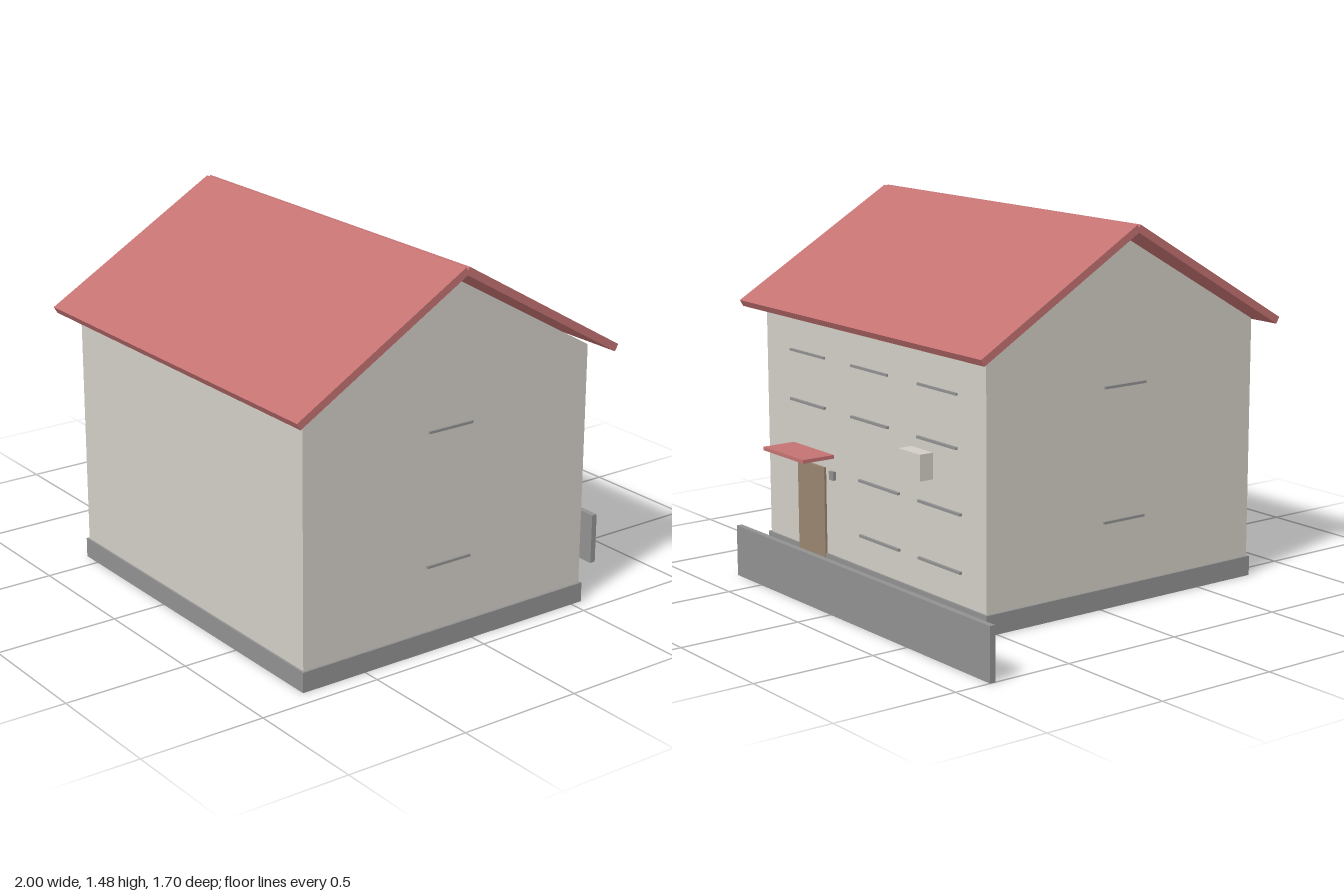
import * as THREE from 'three';

const mat = (name, color) => {
  const m = new THREE.MeshStandardMaterial({ color });
  m.name = name;
  return m;
};

export function createModel() {
  const house = new THREE.Group();
  house.name = 'house';
  const plaster = mat('plaster', 0xd2cec6);
  const concrete = mat('concrete grey', 0x919191);
  const tile = mat('roof red', 0xc47272);
  const wood = mat('door brown', 0x9a8570);

  // Box given by its min and max on each axis
  const box = (name, material, [x0, x1], [y0, y1], [z0, z1]) => {
    const m = new THREE.Mesh(new THREE.BoxGeometry(x1 - x0, y1 - y0, z1 - z0), material);
    m.position.set((x0 + x1) / 2, (y0 + y1) / 2, (z0 + z1) / 2);
    m.name = name;
    house.add(m);
    return m;
  };

  const X0 = -0.57, X1 = 0.92, ZB = -0.54, ZF = 0.77, ZR = 0.115;

  // Gabled body, its outline drawn in (-z, y) and extruded along x
  const gable = new THREE.Shape([
    [-ZF, 0.02], [-ZB, 0.02], [-ZB, 1.05], [-ZR, 1.425], [-ZF, 1.05],
  ].map(([a, b]) => new THREE.Vector2(a, b)));
  const walls = new THREE.Mesh(
    new THREE.ExtrudeGeometry(gable, { depth: X1 - X0, bevelEnabled: false }), plaster);
  walls.rotation.y = Math.PI / 2;
  walls.position.x = X0;
  walls.name = 'walls';
  house.add(walls);

  box('plinth', concrete, [-0.58, 0.93], [0, 0.08], [-0.548, 0.778]);

  // Two roof slabs meeting at the ridge
  const run = 0.727, drop = 0.424, ridgeY = 1.468;
  for (const side of [1, -1]) {
    const slab = new THREE.Mesh(
      new THREE.BoxGeometry(1.645, 0.03, Math.hypot(run, drop)), tile);
    slab.position.set(0.1775, ridgeY - drop / 2, ZR + side * run / 2);
    slab.rotation.x = side * Math.atan2(drop, run);
    slab.name = side > 0 ? 'frontRoofSlab' : 'backRoofSlab';
    house.add(slab);
  }

  // Window sills on both gable ends
  for (const y of [0.34, 0.865]) {
    box('leftSill', concrete, [X1 - 0.01, 0.93], [y - 0.005, y + 0.005], [0.015, 0.217]);
    box('rightSill', concrete, [-0.58, X0 + 0.01], [y - 0.005, y + 0.005], [0.015, 0.217]);
  }

  // Window sills on the back: height, depth, length, centres
  const rows = [
    [0.882, 0.007, 0.25, [0.615, 0.175, -0.27]],
    [0.678, 0.011, 0.25, [0.615, 0.175, -0.27]],
    [0.43, 0.011, 0.27, [0.115, -0.284]],
    [0.206, 0.011, 0.27, [0.115, -0.284]],
  ];
  for (const [y, depth, length, centres] of rows)
    for (const x of centres)
      box('backSill', concrete, [x - length / 2, x + length / 2],
        [y - 0.005, y + 0.005], [ZB - depth, ZB + 0.01]);

  // Entrance
  box('door', wood, [0.495, 0.69], [0.045, 0.435], [ZB - 0.01, ZB + 0.01]);
  box('canopy', tile, [0.437, 0.733], [0.482, 0.497], [-0.685, ZB + 0.01]);
  box('doorbell', concrete, [0.425, 0.455], [0.395, 0.43], [ZB - 0.014, ZB + 0.01]);

  // Wall unit and free-standing garden wall
  box('wallUnit', plaster, [-0.238, -0.098], [0.53, 0.633], [-0.60, ZB]);
  box('gardenWall', concrete, [-1, 0.678], [0, 0.207], [-0.852, -0.828]);

  return house;
}
